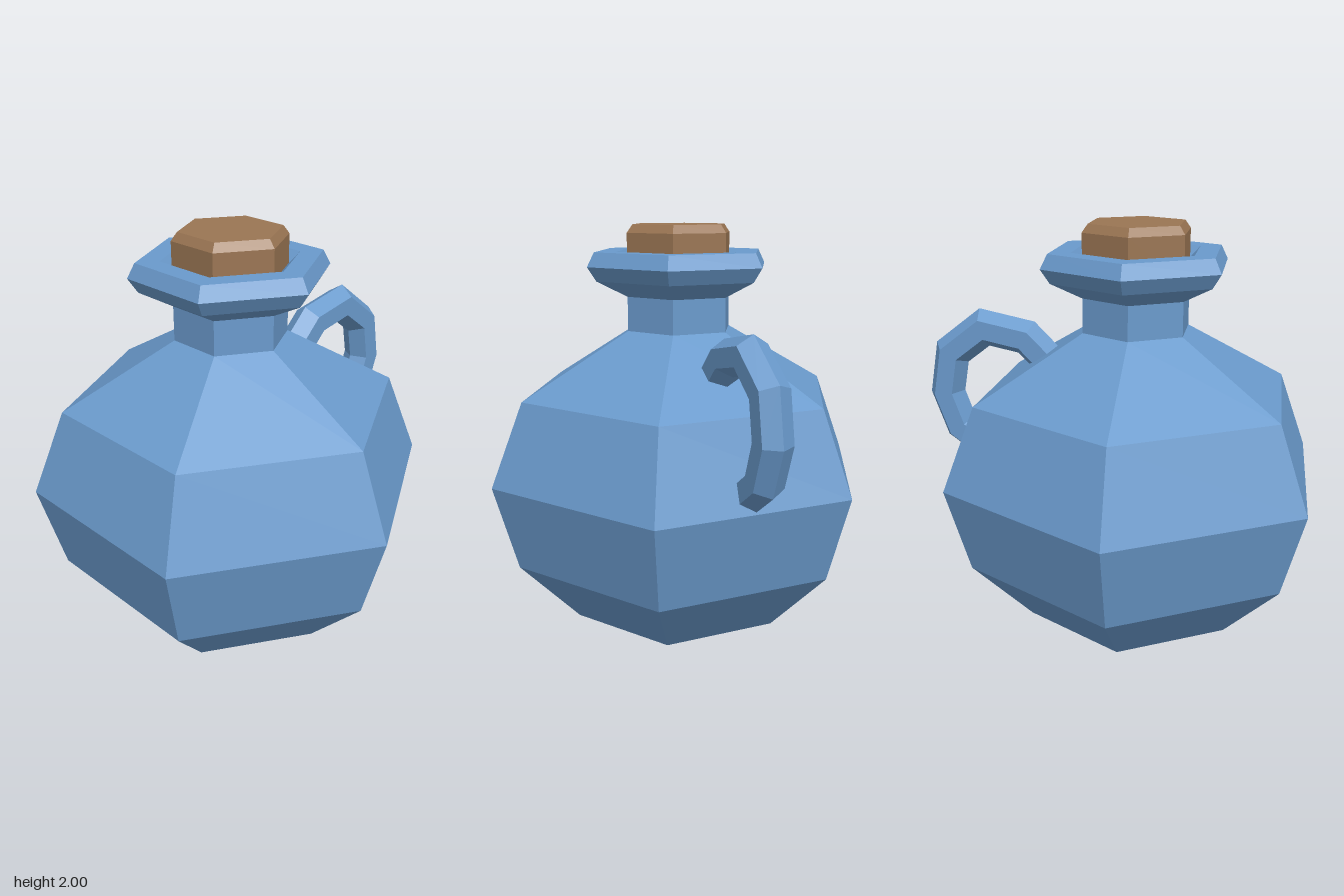
import * as THREE from 'three';

const AXIS_X = -0.114; // the jug axis sits left of centre to balance the handle
const SIDES = 6;

// Faceted solid of revolution from [radius, height] pairs, bottom to top
function turned(name, profile, material) {
  const points = profile.map(([r, y]) => new THREE.Vector2(r, y));
  const mesh = new THREE.Mesh(new THREE.LatheGeometry(points, SIDES), material);
  mesh.name = name;
  mesh.position.x = AXIS_X;
  mesh.rotation.y = 0.0075;
  return mesh;
}

// Hexagonal bar swept along a path in the xy plane, with mitred corners
function sweptBar(path, radius) {
  const pts = path.map(([x, y]) => new THREE.Vector2(x, y));
  const last = pts.length - 1;
  const rings = pts.map((p, i) => {
    const before = p.clone().sub(pts[Math.max(i - 1, 0)]).normalize();
    const after = pts[Math.min(i + 1, last)].clone().sub(p).normalize();
    const t = before.clone().add(after).normalize();
    const miter = 1 / t.dot(i < last ? after : before);
    return Array.from({ length: SIDES }, (_, k) => {
      const a = (k / SIDES) * Math.PI * 2;
      const out = radius * Math.cos(a) * miter;
      return [p.x - t.y * out, p.y + t.x * out, radius * Math.sin(a)];
    });
  });
  const positions = [];
  const tri = (a, b, c) => positions.push(...a, ...b, ...c);
  for (let i = 0; i < last; i++) {
    for (let k = 0; k < SIDES; k++) {
      const n = (k + 1) % SIDES;
      const a = rings[i][k], b = rings[i][n], c = rings[i + 1][n], d = rings[i + 1][k];
      tri(a, b, c);
      tri(a, c, d);
    }
  }
  // End caps
  for (let k = 1; k < SIDES - 1; k++) {
    tri(rings[0][0], rings[0][k + 1], rings[0][k]);
    tri(rings[last][0], rings[last][k], rings[last][k + 1]);
  }
  const geometry = new THREE.BufferGeometry();
  geometry.setAttribute('position', new THREE.Float32BufferAttribute(positions, 3));
  geometry.computeVertexNormals();
  return geometry;
}

export function createModel() {
  const blue = new THREE.MeshStandardMaterial({ color: 0x6a9acc, flatShading: true });
  blue.name = 'blueGlaze';
  const brown = new THREE.MeshStandardMaterial({ color: 0x9a7553, flatShading: true });
  brown.name = 'corkBrown';

  const model = new THREE.Group();
  model.name = 'jug';

  // Body, neck and flared lip, ending inside the mouth
  model.add(turned('body', [
    [0, 0], [0.575, 0], [0.88, 0.32], [1, 0.75], [0.835, 1.165], [0.28, 1.48],
    [0.28, 1.65], [0.44, 1.73], [0.487, 1.8], [0.45, 1.87],
    [0.335, 1.87], [0.24, 1.78], [0, 1.78],
  ], blue));

  // Stopper with a bevelled top
  model.add(turned('cork', [
    [0, 1.74], [0.28, 1.74], [0.28, 1.96], [0.25, 2], [0, 2],
  ], brown));

  // Handle, with both ends buried in the body
  const handle = new THREE.Mesh(sweptBar([
    [0.28, 1.24], [0.45, 1.412], [0.67, 1.456], [0.847, 1.32],
    [0.884, 1.108], [0.818, 0.922], [0.6, 0.765],
  ], 0.09), blue);
  handle.name = 'handle';
  model.add(handle);

  return model;
}
